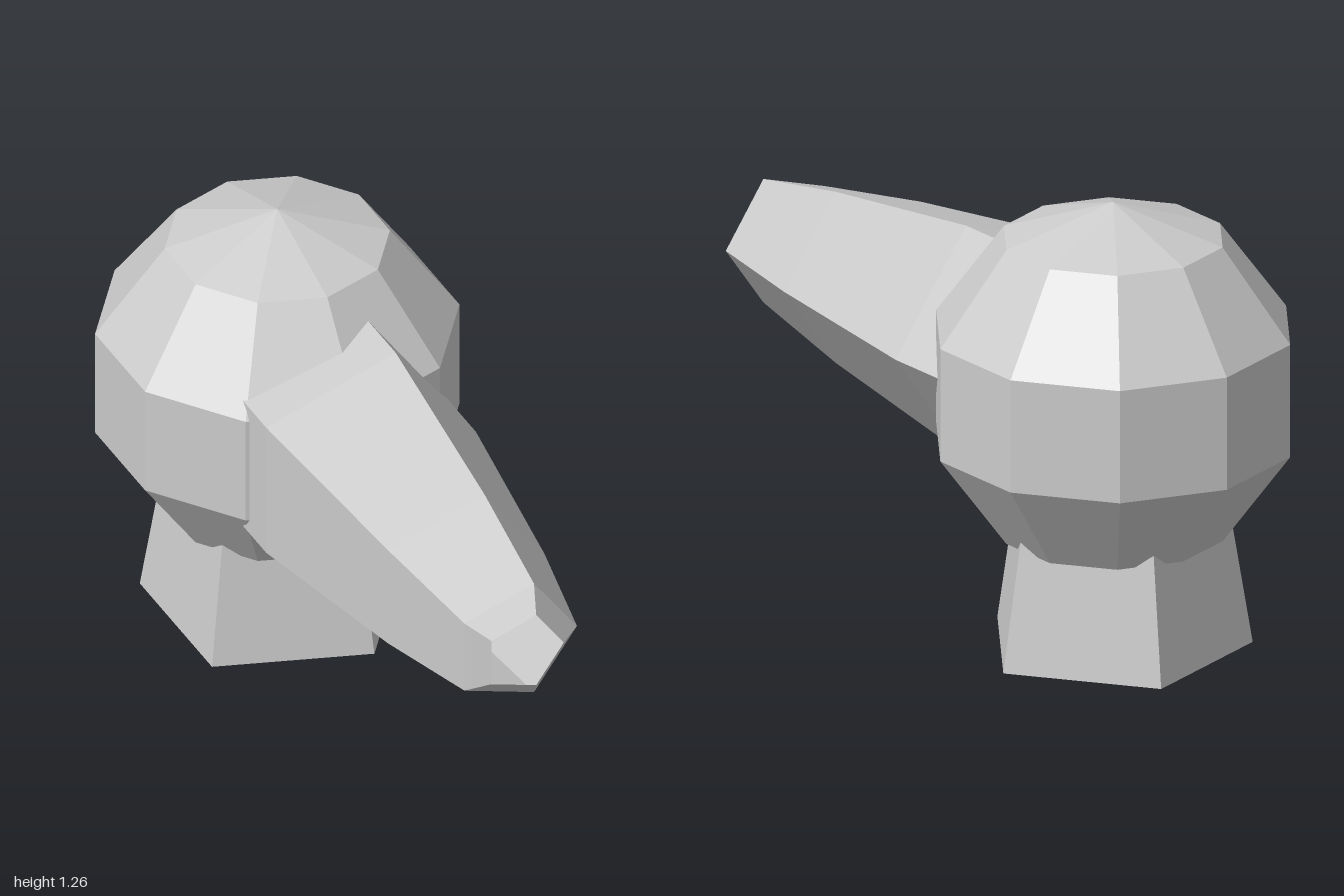
import * as THREE from 'three';

export function createModel() {
  const model = new THREE.Group();
  const solid = new THREE.MeshStandardMaterial({ color: 0xcccccc, flatShading: true });
  const shell = new THREE.MeshStandardMaterial({ color: 0xcccccc, flatShading: true, side: THREE.DoubleSide });
  const headY = 0.745, headZ = -0.505;

  const add = (name, geometry, material, x, y, z) => {
    const mesh = new THREE.Mesh(geometry, material);
    mesh.name = name;
    mesh.position.set(x, y, z);
    model.add(mesh);
  };

  // Faceted ball with corners on the z axis
  const ball = new THREE.SphereGeometry(0.52, 10, 5);
  ball.rotateY(Math.PI / 2);
  add('ball', ball, solid, 0, headY, headZ);

  // Open five-sided foot, tapering up into the ball
  const footHeight = 0.45;
  const foot = new THREE.CylinderGeometry(0.302, 0.375, footHeight, 5, 1, true, Math.PI / 2);
  add('foot', foot, shell, 0, footHeight / 2, headZ);

  // Hollow five-sided snout: [radius, z] from the ball to the tip
  const profile = [[0.347, -0.25], [0.347, 0], [0.258, 0.6], [0.186, 0.945], [0.12, 1]];
  const snout = new THREE.LatheGeometry(profile.map(([r, z]) => new THREE.Vector2(r, z)), 5, Math.PI / 2);
  snout.rotateX(Math.PI / 2);
  add('snout', snout, shell, 0, headY, 0);

  return model;
}
